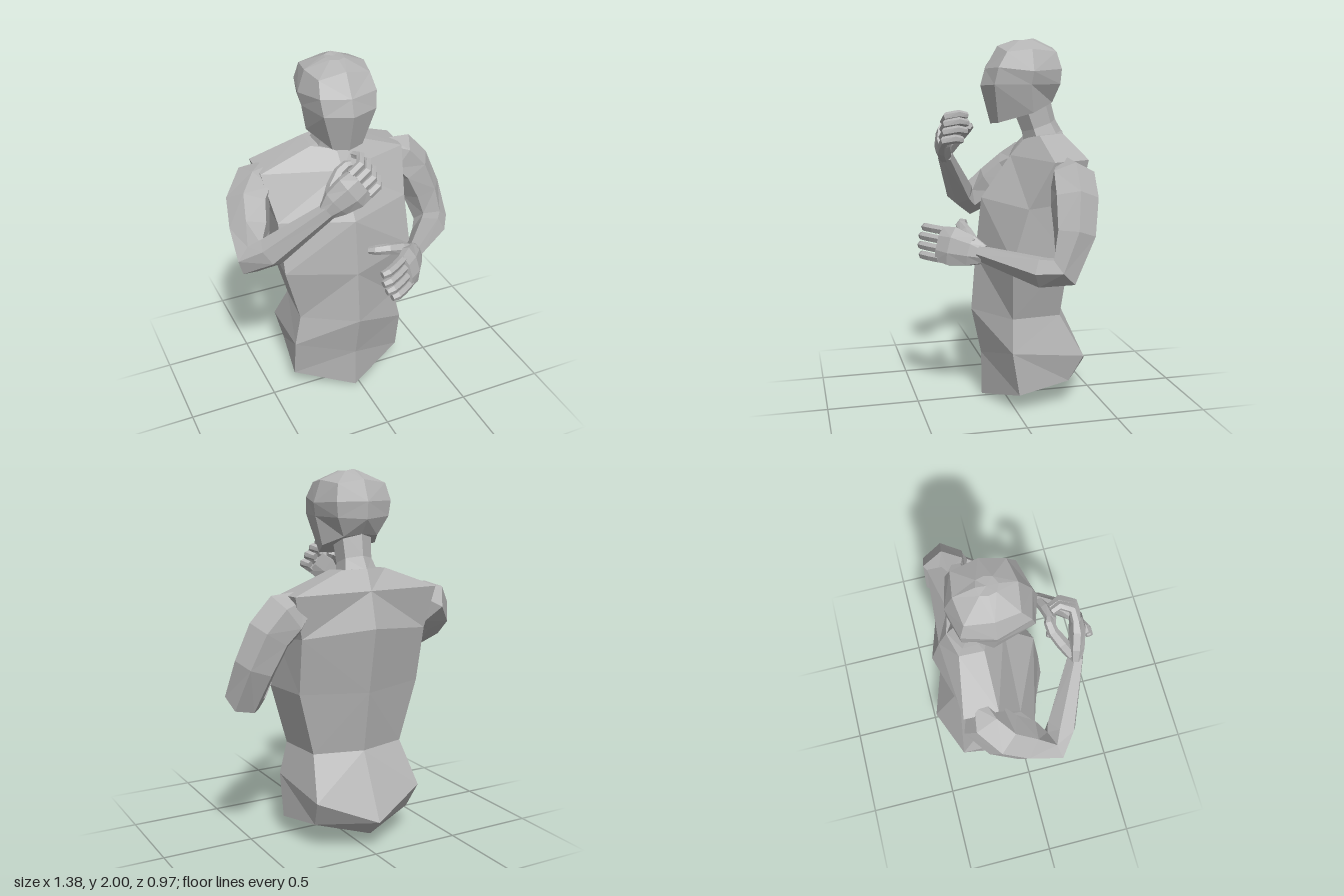
import * as THREE from 'three';

const skin = new THREE.MeshStandardMaterial({ color: 0xb4b4b4, flatShading: true });
skin.name = 'clay grey';
const V = (x, y, z) => new THREE.Vector3(x, y, z);

// Closed faceted skin over rings of points, each counter-clockwise about the direction of travel
function loft(name, rings) {
  const pos = [];
  const tri = (...pts) => pts.forEach((p) => pos.push(p.x, p.y, p.z));
  const n = rings[0].length;
  const centre = (ring) => ring.reduce((s, p) => s.add(p), V(0, 0, 0)).divideScalar(n);
  const first = rings[0], last = rings[rings.length - 1];
  const c0 = centre(first), c1 = centre(last);
  for (let i = 0; i < n; i++) {
    const j = (i + 1) % n;
    for (let k = 0; k + 1 < rings.length; k++) {
      const a = rings[k], b = rings[k + 1];
      // split each quad along its shorter diagonal
      if (a[i].distanceTo(b[j]) < a[j].distanceTo(b[i])) {
        tri(a[i], a[j], b[j]);
        tri(a[i], b[j], b[i]);
      } else {
        tri(a[i], a[j], b[i]);
        tri(a[j], b[j], b[i]);
      }
    }
    tri(c0, first[j], first[i]);
    tri(c1, last[i], last[j]);
  }
  const geo = new THREE.BufferGeometry();
  geo.setAttribute('position', new THREE.Float32BufferAttribute(pos, 3));
  geo.computeVertexNormals();
  const mesh = new THREE.Mesh(geo, skin);
  mesh.name = name;
  return mesh;
}

// Mirrored ring: first and last points lie on the centre line, the rest repeat on both sides
function mirrorRing(half, cx) {
  const left = half.map(([x, y, z]) => V(cx + x, y, z));
  const right = half.slice(1, -1).reverse().map(([x, y, z]) => V(cx - x, y, z));
  return [...left, ...right];
}

// Limb along stations [x, y, z, radius, radius across]; "across" fixes the ring orientation
function limb(name, stations, across, sides = 6, turn = 0.5) {
  const pts = stations.map((s) => V(s[0], s[1], s[2]));
  const rings = pts.map((p, k) => {
    const t = V(0, 0, 0);
    if (k > 0) t.add(p.clone().sub(pts[k - 1]).normalize());
    if (k + 1 < pts.length) t.add(pts[k + 1].clone().sub(p).normalize());
    t.normalize();
    const u = across.clone().addScaledVector(t, -across.dot(t)).normalize();
    const v = t.clone().cross(u);
    const [, , , r, ra = r] = stations[k];
    return Array.from({ length: sides }, (_, i) => {
      const a = ((i + turn) / sides) * Math.PI * 2;
      return p.clone().addScaledVector(u, Math.cos(a) * ra).addScaledVector(v, Math.sin(a) * r);
    });
  });
  return loft(name, rings);
}

// Arm whose rings line up with the plane of the bent elbow
function arm(name, stations, elbow) {
  const [a, b, c] = [stations[0], stations[elbow], stations[stations.length - 1]].map((s) => V(s[0], s[1], s[2]));
  const normal = b.clone().sub(a).cross(c.sub(b)).normalize();
  return limb(name, stations, normal);
}

// Palm, four fingers stacked along "across", and a thumb
function hand(name, across, palm, finger, thumb, spacing) {
  const group = new THREE.Group();
  group.name = name;
  group.add(limb('palm', palm, across, 8));
  const lengths = [0.93, 1, 0.97, 0.84];
  lengths.forEach((len, i) => {
    const shift = across.clone().multiplyScalar((1.5 - i) * spacing);
    const root = finger[0];
    const path = finger.map((s) => [0, 1, 2].map((k) => root[k] + (s[k] - root[k]) * len + shift.getComponent(k)).concat(s[3], s[4]));
    group.add(limb('finger', path, across));
  });
  group.add(limb('thumb', thumb, across));
  return group;
}

export function createModel() {
  const model = new THREE.Group();
  model.name = 'bust';

  // Torso: front centre, front side, back side, back centre at each level
  model.add(loft('torso', [
    [[0, 0, 0.127], [0.333, 0.1, -0.01], [0.29, 0.145, -0.3], [0, 0.07, -0.39]],
    [[0, 0.25, 0.13], [0.335, 0.34, 0.03], [0.315, 0.29, -0.375], [0, 0.165, -0.487]],
    [[0, 0.51, 0.185], [0.295, 0.52, 0.02], [0.27, 0.52, -0.25], [0, 0.52, -0.32]],
    [[0, 0.82, 0.16], [0.38, 0.85, 0.04], [0.36, 0.86, -0.27], [0, 0.85, -0.37]],
    [[0, 1.14, 0.125], [0.38, 1.13, -0.045], [0.37, 1.16, -0.32], [0, 1.2, -0.43]],
    [[0, 1.37, -0.04], [0.42, 1.375, -0.17], [0.42, 1.385, -0.35], [0, 1.39, -0.38]],
    [[0, 1.46, -0.12], [0.13, 1.485, -0.17], [0.13, 1.495, -0.3], [0, 1.5, -0.335]],
  ].map((r) => mirrorRing(r, -0.03))));

  // Neck
  model.add(limb('neck', [
    [-0.03, 1.45, -0.23, 0.115], [-0.03, 1.53, -0.2, 0.1, 0.09], [-0.04, 1.67, -0.155, 0.11, 0.1],
  ], V(1, 0, 0)));

  // Head: front, temple, side, rear corner, back at each level
  model.add(loft('head', [
    [[0, 1.545, 0.07], [0.085, 1.555, 0.045], [0.16, 1.61, -0.13], [0.1, 1.66, -0.25], [0, 1.67, -0.265]],
    [[0, 1.75, 0.125], [0.145, 1.76, 0.08], [0.19, 1.76, -0.11], [0.15, 1.76, -0.28], [0, 1.75, -0.32]],
    [[0, 1.84, 0.1], [0.155, 1.85, 0.06], [0.205, 1.83, -0.12], [0.16, 1.84, -0.285], [0, 1.84, -0.325]],
    [[0, 1.96, 0.03], [0.14, 1.93, 0.01], [0.165, 1.945, -0.12], [0.14, 1.93, -0.26], [0, 1.95, -0.28]],
    [[0, 1.99, -0.06], [0.04, 1.99, -0.08], [0.05, 1.99, -0.12], [0.04, 1.99, -0.16], [0, 2, -0.17]],
  ].map((r) => mirrorRing(r, -0.04))));

  // Left arm, held across the belly
  model.add(arm('leftArm', [
    [0.31, 1.33, -0.26, 0.06, 0.08], [0.4, 1.285, -0.26, 0.12, 0.13], [0.485, 1.19, -0.245, 0.125, 0.125],
    [0.555, 1.03, -0.225, 0.11, 0.115], [0.595, 0.855, -0.165, 0.09, 0.1],
    [0.53, 0.84, -0.065, 0.08, 0.1], [0.29, 0.9, 0.2, 0.042, 0.055],
  ], 4));
  model.add(hand('leftHand', V(-0.22, 0.95, -0.22),
    [[0.305, 0.895, 0.185, 0.038, 0.052], [0.265, 0.91, 0.245, 0.045, 0.085],
      [0.2, 0.925, 0.33, 0.048, 0.11], [0.14, 0.93, 0.385, 0.036, 0.1]],
    [[0.15, 0.925, 0.375, 0.027, 0.025], [0.08, 0.925, 0.425, 0.027, 0.025],
      [0.02, 0.925, 0.46, 0.026, 0.025], [-0.02, 0.92, 0.465, 0.02, 0.02]],
    [[0.27, 0.945, 0.23, 0.033], [0.18, 0.99, 0.255, 0.036], [0.1, 1.015, 0.265, 0.03],
      [0.03, 1.015, 0.245, 0.026], [0.0, 1.01, 0.225, 0.018]], 0.05));

  // Right arm, raised towards the chin
  model.add(arm('rightArm', [
    [-0.37, 1.33, -0.26, 0.06, 0.08], [-0.45, 1.29, -0.25, 0.12, 0.125], [-0.53, 1.22, -0.17, 0.125, 0.12],
    [-0.565, 1.13, -0.055, 0.115, 0.11], [-0.605, 1.035, 0.085, 0.09, 0.095],
    [-0.52, 1.1, 0.15, 0.08, 0.09], [-0.25, 1.355, 0.285, 0.042, 0.05],
  ], 4));
  model.add(hand('rightHand', V(-0.56, 0.8, -0.2),
    [[-0.265, 1.345, 0.28, 0.035, 0.048], [-0.215, 1.395, 0.295, 0.045, 0.085],
      [-0.145, 1.45, 0.315, 0.046, 0.105], [-0.09, 1.49, 0.32, 0.034, 0.1]],
    [[-0.1, 1.485, 0.32, 0.026, 0.025], [-0.04, 1.525, 0.315, 0.026, 0.025],
      [-0.01, 1.54, 0.25, 0.025, 0.024], [-0.03, 1.53, 0.2, 0.02, 0.02]],
    [[-0.245, 1.385, 0.26, 0.033], [-0.2, 1.45, 0.22, 0.034], [-0.15, 1.5, 0.185, 0.03],
      [-0.105, 1.525, 0.175, 0.026], [-0.08, 1.53, 0.18, 0.018]], 0.05));

  return model;
}
